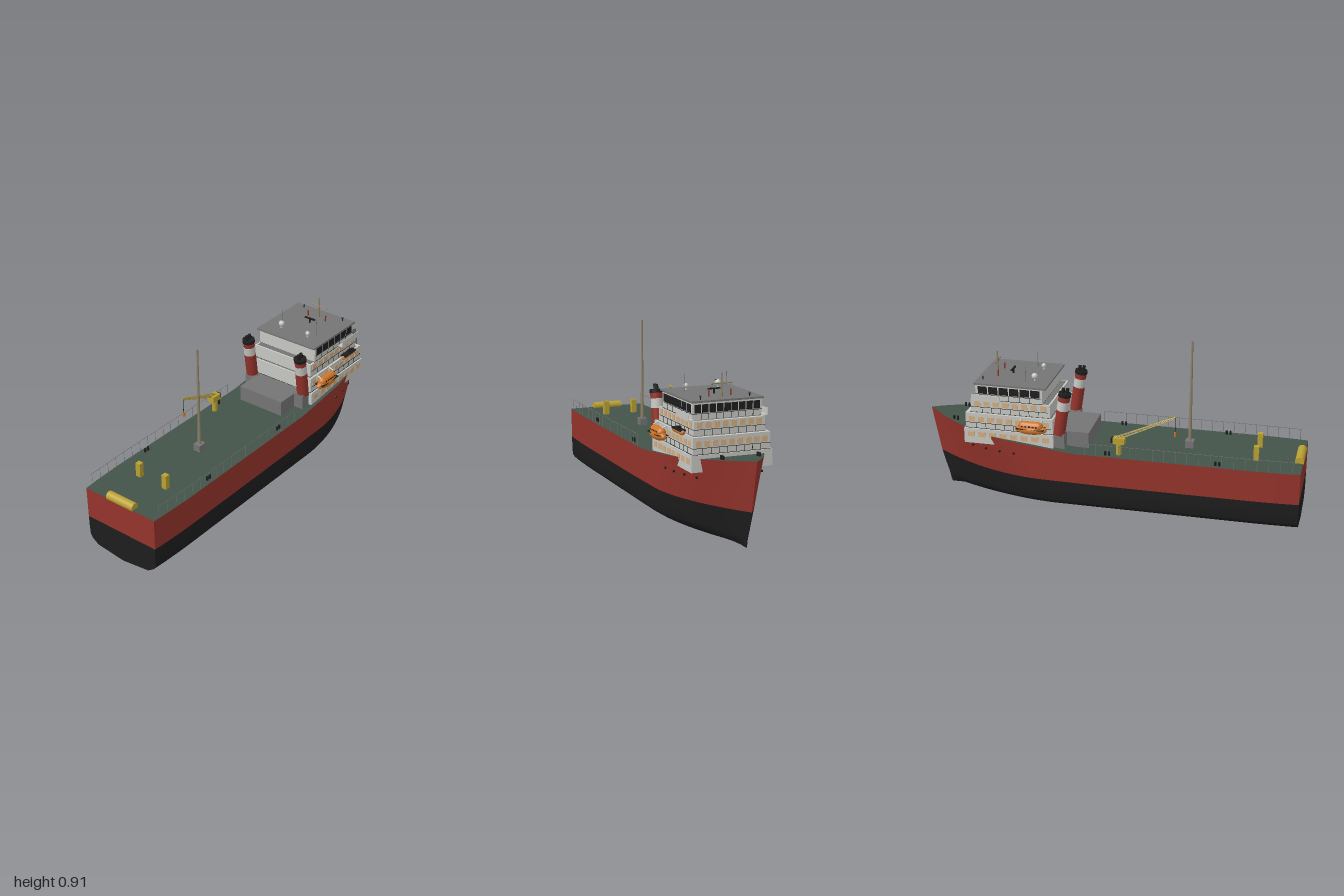
import * as THREE from 'three';

const mat = (name, color, side = THREE.FrontSide) => {
  const m = new THREE.MeshStandardMaterial({ color, side });
  m.name = name;
  return m;
};
const M = {
  red: mat('hull red', 0x93332b), black: mat('black', 0x1d1d1d), green: mat('deck green', 0x42534a),
  white: mat('off white', 0xc6c6c2), gray: mat('gray', 0x747474), beige: mat('window beige', 0xd2ac80),
  orange: mat('lifeboat orange', 0xd0762a), yellow: mat('machinery yellow', 0xb9a132),
  tan: mat('mast tan', 0x8d8268),
};

export function createModel() {
  const root = new THREE.Group();
  const add = (name, geo, m, x = 0, y = 0, z = 0) => {
    const mesh = new THREE.Mesh(geo, m);
    mesh.name = name;
    mesh.position.set(x, y, z);
    root.add(mesh);
    return mesh;
  };
  const box = (name, m, x0, x1, y0, y1, z0, z1) => add(name,
    new THREE.BoxGeometry(x1 - x0, y1 - y0, z1 - z0), m, (x0 + x1) / 2, (y0 + y1) / 2, (z0 + z1) / 2);
  const bar = (name, m, a, b, r0, r1 = r0, sides = 8) => {
    const A = new THREE.Vector3(...a), B = new THREE.Vector3(...b), d = B.clone().sub(A);
    const mesh = add(name, new THREE.CylinderGeometry(r1, r0, d.length(), sides), m);
    mesh.position.copy(A).add(B).multiplyScalar(0.5);
    mesh.quaternion.setFromUnitVectors(new THREE.Vector3(0, 1, 0), d.normalize());
    return mesh;
  };
  const grid = (name, m, rows) => {
    const n = rows[0].length, idx = [];
    for (let i = 0; i < rows.length - 1; i++) for (let j = 0; j < n - 1; j++) {
      const a = i * n + j, b = a + n;
      idx.push(a, b, a + 1, b, b + 1, a + 1);
    }
    const g = new THREE.BufferGeometry();
    g.setAttribute('position', new THREE.Float32BufferAttribute(rows.flat(2), 3));
    g.setIndex(idx);
    g.computeVertexNormals();
    return add(name, g, m);
  };

  // Hull: horizontal levels swept from stern to a raked stem
  const lerp = THREE.MathUtils.lerp;
  const sheer = x => 0.335 + 0.093 * Math.max(0, (x - 0.17) / 0.83);
  const wl = x => 0.17 + 0.012 * Math.max(0, x);
  const halfBeam = (x, stem, k) => {
    const start = lerp(0.25, 0.45, k);
    const s = Math.max(0, (x - start) / (stem - start));
    const stern = Math.max(0, (-0.7 - x) / 0.29);
    return 0.227 * (1 - Math.pow(s, lerp(1.75, 2.05, k))) * (1 - 0.05 * stern * stern);
  };
  // each level: stem x, width factor, fullness, height rule
  const low = [[0.904, 0, 0], [0.91, 0.75, 0.02], [0.915, 0.92, 0.045], [0.92, 0.975, 0.065], [0.935, 0.988, 0.115]]
    .map(([stem, f, y]) => ({ stem, f, k: y * 2, y: () => y }));
  const water = { stem: 0.954, f: 0.992, k: 0.4, y: wl };
  const high = [0.33, 0.66, 1].map(t => ({
    stem: lerp(0.954, 1, t), f: lerp(0.992, 1, t), k: lerp(0.4, 1, t), y: x => lerp(wl(x), sheer(x), t),
  }));
  const N = 60;
  const point = (L, i, s) => {
    const x = -0.99 + (i / N) * (L.stem + 0.99);
    return [x, L.y(x), s * L.f * halfBeam(x, L.stem, L.k)];
  };
  const stations = [...Array(N + 1).keys()];
  const shell = (name, m, levels) => {
    grid(name + 'Left', m, stations.map(i => levels.map(L => point(L, i, 1))));
    grid(name + 'Right', m, [...stations].reverse().map(i => levels.map(L => point(L, i, -1))));
    grid(name + 'Transom', m, [-1, 1].map(s => levels.map(L => point(L, 0, s))));
  };
  shell('lowerHull', M.black, [...low, water]);
  shell('upperHull', M.red, [water, ...high]);
  grid('mainDeck', M.green, [-1, 1].map(s => stations.map(i => point(high[2], i, s))));

  // Superstructure tiers with gray decks, seams and windows
  const tiers = [
    { x0: 0.27, x1: 0.745, y0: 0.337, y1: 0.418, w: 0.209, nf: 0, ns: 8 },
    { x0: 0.272, x1: 0.738, y0: 0.418, y1: 0.5, w: 0.199, nf: 9, ns: 9 },
    { x0: 0.29, x1: 0.712, y0: 0.5, y1: 0.57, w: 0.183, nf: 8, ns: 8 },
    { x0: 0.33, x1: 0.685, y0: 0.57, y1: 0.652, w: 0.179, nf: 9, ns: 6, glass: true },
  ];
  tiers.forEach(({ x0, x1, y0, y1, w, nf, ns, glass }, t) => {
    box('cabinTier', M.white, x0, x1, y0, y1, -w, w);
    if (!glass) box('tierDeck', M.gray, x0 + 0.01, x1 - 0.022, y1 - 0.001, y1 + 0.002, -w + 0.012, w - 0.012);
    const m = glass ? M.black : M.beige, fill = glass ? 0.86 : 0.66;
    const a = glass ? y0 + 0.034 : y0 + 0.036, b = glass ? y1 - 0.009 : y0 + 0.064;
    const dz = 2 * (w - 0.008) / Math.max(1, nf), dx = (x1 - x0 - 0.02) / ns;
    for (let i = 0; i < nf; i++) {
      const z = -w + 0.008 + (i + 0.5) * dz;
      box('frontWindow', m, x1 - 0.002, x1 + 0.002, a, b, z - dz * fill / 2, z + dz * fill / 2);
      if (i) box('frontSeam', M.black, x1 - 0.001, x1 + 0.0015, y0, y0 + 0.03, z - dz / 2 - 0.001, z - dz / 2 + 0.001);
    }
    for (const s of [-1, 1]) for (let i = 0; i < ns; i++) {
      const x = x0 + 0.01 + (i + 0.5) * dx;
      box('sideWindow', m, x - dx * fill / 2, x + dx * fill / 2, a, b, s * w - 0.002, s * w + 0.002);
      if (i && t) box('sideSeam', M.black, x - dx / 2 - 0.001, x - dx / 2 + 0.001, y0, y0 + 0.03, s * w - 0.0015, s * w + 0.0015);
    }
    if (t) {
      box('deckSeam', M.black, x0 - 0.001, x1 + 0.0015, y0 - 0.001, y0 + 0.002, -w - 0.0015, w + 0.0015);
      box('panelSeam', M.black, x0 + 0.01, x1 + 0.0015, y0 + 0.029, y0 + 0.031, -w - 0.0015, w + 0.0015);
    }
  });
  box('roof', M.gray, 0.31, 0.692, 0.652, 0.661, -0.187, 0.187);
  box('aftHouse', M.gray, 0.1, 0.28, 0.335, 0.418, -0.135, 0.135);

  // Bridge wings, funnels and covered lifeboats on both sides
  for (const s of [-1, 1]) {
    const zs = (a, b) => s > 0 ? [a, b] : [-b, -a];
    box('bridgeWing', M.white, 0.55, 0.7, 0.57, 0.575, ...zs(0.175, 0.205));
    box('wingBulwark', M.white, 0.55, 0.7, 0.575, 0.605, ...zs(0.202, 0.205));
    box('funnelBase', M.gray, 0.215, 0.28, 0.335, 0.42, ...zs(0.13, 0.19));

    const at = y => [0.247 - (y - 0.415) * 0.15, y, s * 0.168];
    [[0.415, 0.55, M.red, 0.031], [0.55, 0.598, M.white, 0.031], [0.598, 0.625, M.red, 0.03], [0.625, 0.642, M.black, 0.033]]
      .forEach(([a, b, m, r]) => bar('funnel', m, at(a), at(b), r, r, 20));
    for (const d of [-0.012, 0.01]) bar('exhaustPipe', M.black, [0.215 + d, 0.635, s * 0.168], [0.21 + d, 0.667, s * 0.168], 0.009);

    const hull = add('lifeboat', new THREE.SphereGeometry(1, 24, 14), M.orange, 0.38, 0.45, s * 0.226);
    hull.scale.set(0.084, 0.026, 0.029);
    const canopy = add('lifeboatCanopy', new THREE.CapsuleGeometry(0.024, 0.08, 8, 16), M.orange, 0.38, 0.468, s * 0.226);
    canopy.rotation.z = Math.PI / 2;
    box('lifeboatBelt', M.black, 0.307, 0.453, 0.455, 0.458, ...zs(0.201, 0.253));
    for (let i = 0; i < 5; i++) box('lifeboatWindow', M.black, 0.34 + i * 0.019, 0.349 + i * 0.019, 0.469, 0.475, ...zs(0.246, 0.2505));
    for (const x of [0.325, 0.435]) {
      bar('davit', M.white, [x, 0.42, s * 0.195], [x, 0.5, s * 0.205], 0.004);
      bar('davitArm', M.white, [x, 0.5, s * 0.205], [x, 0.49, s * 0.228], 0.004);
    }
  }

  // Small open rescue boat on the left side
  const rescue = add('rescueBoat', new THREE.CapsuleGeometry(0.013, 0.09, 6, 14), M.orange, 0.602, 0.51, 0.212);
  rescue.rotation.z = Math.PI / 2;
  box('rescueBoatTop', M.black, 0.55, 0.654, 0.515, 0.523, 0.197, 0.227);
  box('rescueConsole', M.black, 0.6, 0.62, 0.523, 0.535, 0.205, 0.219);
  box('rescueCradle', M.white, 0.57, 0.63, 0.492, 0.5, 0.18, 0.22);

  // Roof equipment
  for (const [z, r] of [[0.085, 0.012], [-0.085, 0.016]]) {
    bar('domePost', M.white, [0.395, 0.66, z], [0.395, 0.675, z], 0.005);
    add('antennaDome', new THREE.SphereGeometry(r, 18, 12), M.white, 0.395, 0.671 + r, z);
  }
  bar('radarMast', M.tan, [0.62, 0.66, 0], [0.62, 0.775, 0], 0.006, 0.004);
  bar('mastYard', M.tan, [0.62, 0.725, -0.055], [0.62, 0.725, 0.055], 0.003);
  bar('radarPost', M.black, [0.535, 0.66, 0], [0.535, 0.685, 0], 0.005);
  box('radarScanner', M.black, 0.53, 0.54, 0.683, 0.689, -0.032, 0.032);
  for (const s of [-1, 1]) {
    bar('whipAntenna', M.gray, [0.435, 0.66, s * 0.112], [0.435, 0.748, s * 0.112], 0.0015);
    bar('roofVent', M.red, [0.6, 0.66, s * 0.057], [0.6, 0.692, s * 0.057], 0.004);
    bar('searchlightPost', M.black, [0.66, 0.66, s * 0.127], [0.66, 0.675, s * 0.127], 0.003);
    add('searchlight', new THREE.SphereGeometry(0.005, 10, 8), M.black, 0.66, 0.676, s * 0.127);
  }

  // Tall deck mast
  box('mastBase', M.gray, -0.425, -0.38, 0.335, 0.372, -0.02, 0.02);
  bar('deckMast', M.tan, [-0.402, 0.372, 0], [-0.402, 0.91, 0], 0.009, 0.005, 12);

  // Deck crane with lattice boom
  bar('cranePedestal', M.yellow, [-0.067, 0.335, -0.175], [-0.067, 0.4, -0.175], 0.014, 0.014, 14);
  box('craneHouse', M.yellow, -0.1, -0.04, 0.398, 0.43, -0.197, -0.157);
  box('craneWinch', M.black, -0.05, -0.028, 0.4, 0.425, -0.19, -0.165);
  const boom = (t, y, z) => [lerp(-0.05, -0.35, t), lerp(0.42, 0.55, t) + y * (1 - 0.6 * t), lerp(-0.177, -0.145, t) + z * (1 - 0.6 * t)];
  const corners = [[0.008, 0.009], [0.008, -0.009], [-0.008, -0.009], [-0.008, 0.009]];
  corners.forEach(([y, z], c) => {
    bar('boomChord', M.yellow, boom(0, y, z), boom(1, y, z), 0.002, 0.002, 5);
    const next = corners[(c + 1) % 4];
    for (let i = 0; i < 14; i++) {
      const [p, q] = i % 2 ? [corners[c], next] : [next, corners[c]];
      bar('boomLattice', M.tan, boom(i / 14, ...p), boom((i + 1) / 14, ...q), 0.0012, 0.0012, 4);
    }
  });
  bar('craneCable', M.black, [-0.35, 0.55, -0.145], [-0.35, 0.468, -0.145], 0.0015, 0.0015, 5);
  bar('craneHook', M.orange, [-0.35, 0.47, -0.145], [-0.35, 0.446, -0.145], 0.006, 0.005);

  // Stern roller and towing posts
  bar('sternRoller', M.yellow, [-0.972, 0.343, -0.082], [-0.972, 0.343, 0.082], 0.023, 0.023, 18);
  for (const s of [-1, 1]) box('towPost', M.yellow, -0.768, -0.742, 0.335, 0.41, s * 0.083 - 0.014, s * 0.083 + 0.014);

  // Side railings, mooring bollards and hull ports
  for (const s of [-1, 1]) {
    for (let i = 0; i <= 18; i++) {
      const x = -0.95 + i * 0.0583, z = s * (halfBeam(x, 1, 1) - 0.006);
      bar('railPost', M.gray, [x, 0.335, z], [x, 0.396, z], 0.0013, 0.0013, 4);
    }
    const rail = [-0.95, -0.7, 0.1].map(x => [x, 0.396, s * (halfBeam(x, 1, 1) - 0.006)]);
    for (let i = 0; i < 2; i++) bar('topRail', M.gray, rail[i], rail[i + 1], 0.0013, 0.0013, 4);

    for (const [x, z] of [[-0.575, 0.2], [-0.012, 0.2], [0.83, 0.093]]) {
      const y = sheer(x);
      for (const d of [-0.01, 0.01]) bar('bollard', M.black, [x + d, y - 0.004, s * z], [x + d, y + 0.02, s * z], 0.006);
    }
    for (const x of [0.475, 0.555, 0.635, 0.715]) {
      const z = s * halfBeam(x, 0.992, 0.88);
      bar('hullPort', M.black, [x, 0.306, z - 0.004], [x, 0.306, z + 0.004], 0.006).rotation.x = Math.PI / 2;
    }
  }
  return root;
}
